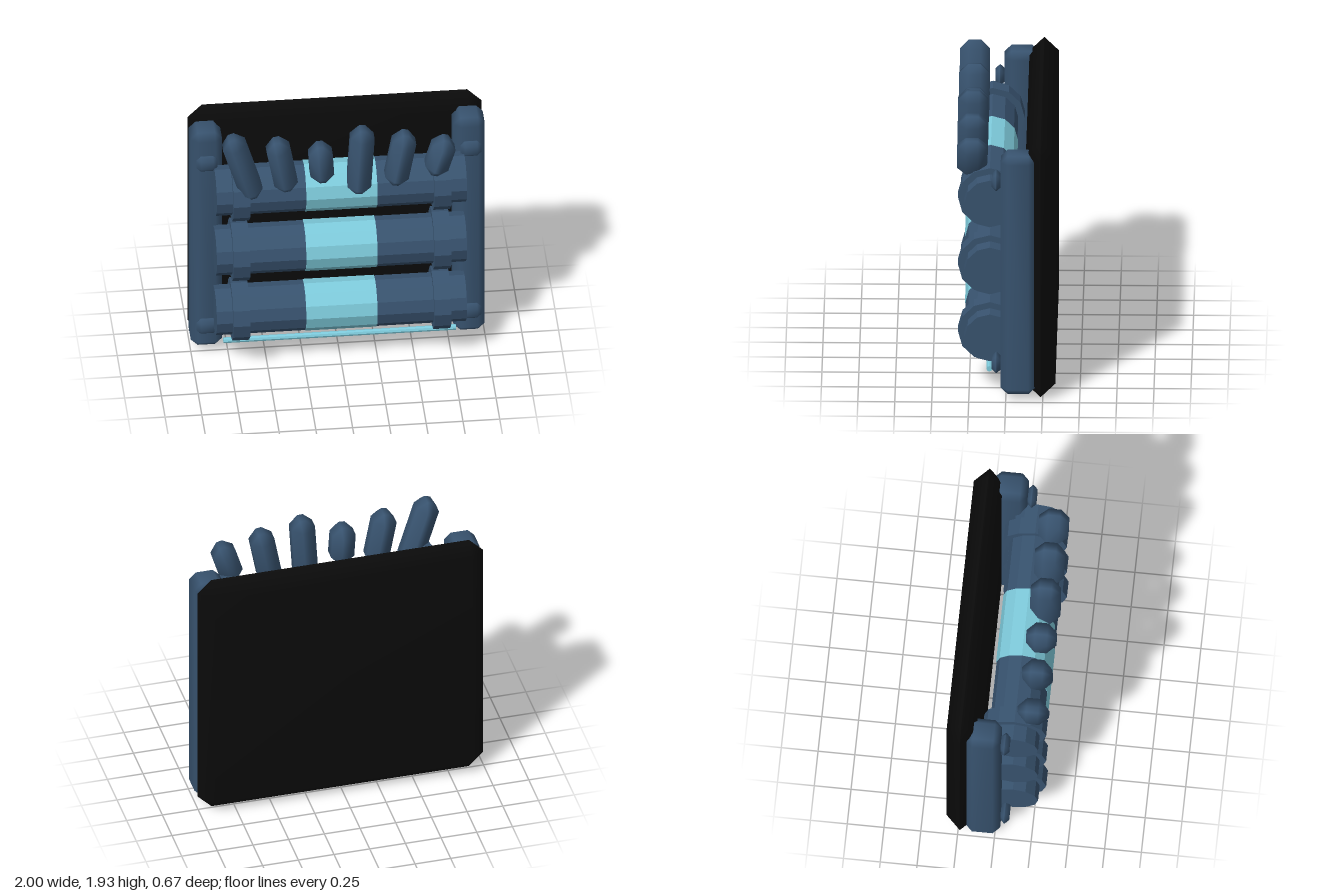
import * as THREE from 'three';
import { mergeVertices } from 'three/addons/utils/BufferGeometryUtils.js';
import { ConvexGeometry } from 'three/addons/geometries/ConvexGeometry.js';

// Box with every edge cut by a single 45 degree chamfer, softly shaded
function chamferBox(w, h, d, c) {
  const points = [];
  for (const sx of [-1, 1]) for (const sy of [-1, 1]) for (const sz of [-1, 1]) {
    const x = w / 2, y = h / 2, z = d / 2;
    points.push(
      new THREE.Vector3(sx * x, sy * (y - c), sz * (z - c)),
      new THREE.Vector3(sx * (x - c), sy * y, sz * (z - c)),
      new THREE.Vector3(sx * (x - c), sy * (y - c), sz * z),
    );
  }
  const hull = new ConvexGeometry(points);
  hull.deleteAttribute('normal');
  const geometry = mergeVertices(hull, 1e-5);
  geometry.computeVertexNormals();
  return geometry;
}

// Cylinder lying along x
function barGeometry(radius, length, sides) {
  return new THREE.CylinderGeometry(radius, radius, length, sides).rotateZ(Math.PI / 2);
}

export function createModel() {
  const model = new THREE.Group();
  model.name = 'canisterRack';

  const black = new THREE.MeshStandardMaterial({ color: 0x0b0b0b });
  black.name = 'black';
  const steel = new THREE.MeshStandardMaterial({ color: 0x38536f });
  steel.name = 'steelBlue';
  const steelFlat = steel.clone();
  steelFlat.flatShading = true;
  const cyan = new THREE.MeshStandardMaterial({ color: 0x7ecbdc, flatShading: true });
  cyan.name = 'paleCyan';

  const add = (parent, name, geometry, material, x, y, z) => {
    const mesh = new THREE.Mesh(geometry, material);
    mesh.name = name;
    mesh.position.set(x, y, z);
    parent.add(mesh);
    return mesh;
  };

  // Back plate
  add(model, 'backPlate', chamferBox(2, 1.87, 0.2, 0.098), black, 0, 0.935, -0.235);

  // Side posts with a bolt near each end
  const postGeometry = chamferBox(0.212, 1.75, 0.235, 0.047);
  const boltGeometry = chamferBox(0.142, 0.122, 0.062, 0.029);
  for (const [side, s] of [['left', 1], ['right', -1]]) {
    add(model, side + 'Post', postGeometry, steel, s * 0.893, 0.917, -0.083);
    for (const [level, y] of [['Lower', 0.25], ['Upper', 1.592]]) {
      add(model, side + level + 'Bolt', boltGeometry, steel, s * 0.897, y, 0.064);
    }
  }

  // Three horizontal canisters, each with two collars and a bright band
  const tubeGeometry = barGeometry(0.172, 1.7, 12);
  const collarGeometry = barGeometry(0.216, 0.115, 12);
  const bandGeometry = barGeometry(0.176, 0.484, 12);
  [0.41, 0.903, 1.397].forEach((y, i) => {
    const canister = new THREE.Group();
    canister.name = 'canister' + (i + 1);
    canister.position.set(0, y, 0.11);
    model.add(canister);
    add(canister, 'tube', tubeGeometry, steelFlat, 0, 0, 0);
    add(canister, 'band', bandGeometry, cyan, 0, 0, 0);
    for (const s of [-1, 1]) add(canister, 'collar', collarGeometry, steelFlat, s * 0.683, 0, 0);
  });

  // Fan of upright pegs, leaning outwards: x, length, lean in degrees
  [
    [-0.673, 0.513, 17],
    [-0.405, 0.41, 10.5],
    [-0.138, 0.293, 3.5],
    [0.13, 0.515, -3.5],
    [0.4, 0.41, -10.5],
    [0.67, 0.293, -17],
  ].forEach(([x, length, lean], i) => {
    const peg = add(model, 'peg' + (i + 1), chamferBox(0.162, length, 0.205, 0.061), steel, x, 1.67, 0.232);
    peg.rotation.z = THREE.MathUtils.degToRad(lean);
  });

  // Thin light rod along the bottom
  add(model, 'lightRod', barGeometry(0.02, 1.58, 8), cyan, 0, 0.156, 0.113);

  return model;
}
